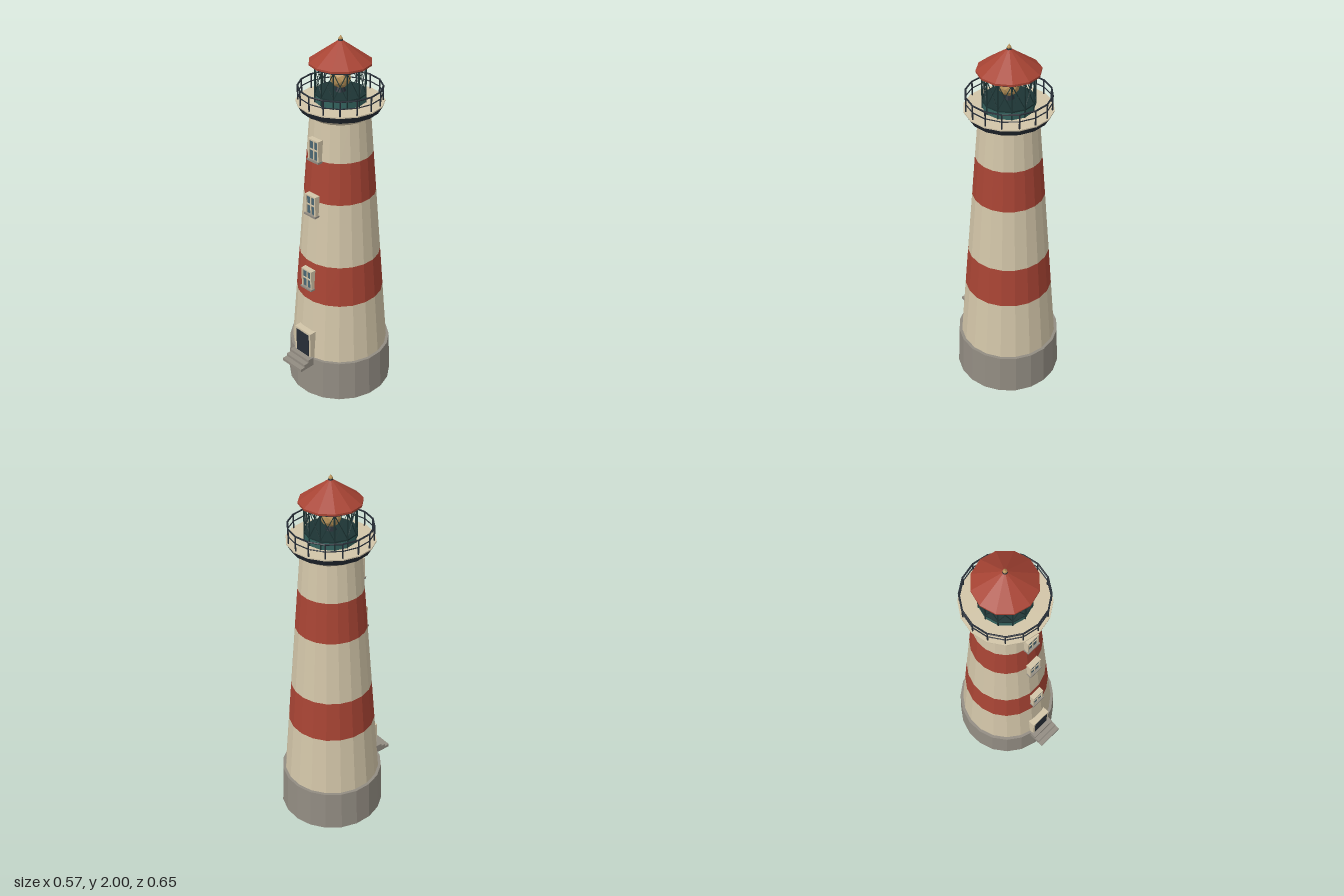
import * as THREE from 'three';

const mat = (name, color) => {
  const m = new THREE.MeshStandardMaterial({ color, flatShading: true });
  m.name = name;
  return m;
};

export function createModel() {
  const cream = mat('cream paint', 0xd2c5a8);
  const red = mat('red paint', 0xa84434);
  const stone = mat('grey stone', 0x928c82);
  const dark = mat('dark iron', 0x262d36);
  const green = mat('green iron', 0x1c3434);
  const teal = mat('teal panel', 0x34625e);
  const glass = mat('window glass', 0x4a6673);
  const gold = mat('brass', 0xb8935a);

  const model = new THREE.Group();
  model.name = 'lighthouse';
  const tower = new THREE.Group(); // everything round shares this axis
  tower.name = 'tower';
  tower.position.z = -0.04;
  model.add(tower);

  const add = (parent, name, geo, material, x = 0, y = 0, z = 0) => {
    const mesh = new THREE.Mesh(geo, material);
    mesh.name = name;
    mesh.position.set(x, y, z);
    parent.add(mesh);
    return mesh;
  };
  const box = (parent, name, material, w, h, d, x, y, z) =>
    add(parent, name, new THREE.BoxGeometry(w, h, d), material, x, y, z);
  // frustum between two heights
  const drum = (name, material, r0, r1, y0, y1, sides, open = false, turn = 0) => {
    const g = new THREE.CylinderGeometry(r1, r0, y1 - y0, sides, 1, open);
    g.rotateY(turn);
    return add(tower, name, g, material, 0, (y0 + y1) / 2, 0);
  };
  // straight bar between two points
  const bar = (parent, name, material, a, b, r, sides = 5) => {
    const d = b.clone().sub(a);
    const m = add(parent, name, new THREE.CylinderGeometry(r, r, d.length(), sides), material);
    m.position.copy(a).addScaledVector(d, 0.5);
    m.quaternion.setFromUnitVectors(new THREE.Vector3(0, 1, 0), d.normalize());
    return m;
  };
  const polar = (r, y, i, n) => {
    const a = (i / n) * Math.PI * 2;
    return new THREE.Vector3(Math.sin(a) * r, y, Math.cos(a) * r);
  };

  // stone base and painted, tapering shaft
  const half = Math.PI / 20;
  const shaftR = (y) => 0.263 - (y - 0.24) * 0.0809;
  drum('stoneBase', stone, 0.288, 0.279, 0, 0.24, 20, false, half);
  const bands = [0.24, 0.59, 0.82, 1.175, 1.4, 1.6];
  for (let i = 0; i < 5; i++) {
    const [a, b] = [bands[i], bands[i + 1]];
    drum(i % 2 ? 'redBand' : 'creamBand', i % 2 ? red : cream, shaftR(a), shaftR(b), a, b, 20, true, half);
  }

  // gallery: flared corbel, dark rim and pale deck
  drum('corbel', cream, 0.153, 0.185, 1.6, 1.635, 20, false, half);
  drum('galleryRim', dark, 0.2, 0.22, 1.63, 1.664, 16);
  drum('galleryDeck', cream, 0.221, 0.221, 1.664, 1.67, 16);

  // gallery railing
  const railing = new THREE.Group();
  railing.name = 'railing';
  tower.add(railing);
  for (let i = 0; i < 16; i++) {
    bar(railing, 'railPost', dark, polar(0.21, 1.668, i, 16), polar(0.21, 1.748, i, 16), 0.004);
    for (const [y, r] of [[1.745, 0.0045], [1.708, 0.003]])
      bar(railing, 'rail', dark, polar(0.21, y, i, 16), polar(0.21, y, i + 1, 16), r);
  }

  // lantern room: low wall, upright bars and crossed braces
  drum('lanternWall', teal, 0.128, 0.128, 1.67, 1.71, 12);
  drum('lanternSill', green, 0.132, 0.132, 1.71, 1.718, 12);
  const cage = new THREE.Group();
  cage.name = 'lanternCage';
  tower.add(cage);
  for (let i = 0; i < 12; i++) {
    bar(cage, 'upright', green, polar(0.128, 1.67, i, 12), polar(0.128, 1.86, i, 12), 0.004);
    bar(cage, 'brace', green, polar(0.127, 1.718, i, 12), polar(0.127, 1.852, i + 1, 12), 0.0025, 4);
    bar(cage, 'brace', green, polar(0.127, 1.718, i + 1, 12), polar(0.127, 1.852, i, 12), 0.0025, 4);
  }
  drum('lanternHead', dark, 0.135, 0.135, 1.848, 1.864, 12);

  // lamp
  drum('lampStand', dark, 0.03, 0.018, 1.715, 1.745, 8);
  add(tower, 'lampLens', new THREE.IcosahedronGeometry(0.052, 1), gold, 0, 1.787, 0);

  // roof and finial
  drum('roofEaves', red, 0.157, 0.157, 1.862, 1.872, 12);
  drum('roof', red, 0.157, 0.012, 1.872, 1.974, 12);
  drum('finialCollar', dark, 0.014, 0.011, 1.968, 1.98, 8);
  add(tower, 'finialBall', new THREE.SphereGeometry(0.011, 8, 6), gold, 0, 1.983, 0);
  drum('finialTip', gold, 0.008, 0.001, 1.986, 2, 8);

  // framed opening: two jambs, a head and a pane
  const frame = (group, w, h, t, d, material) => {
    for (const s of [-1, 1]) box(group, 'jamb', material, t, h, d, s * (w - t) / 2, h / 2, 0);
    box(group, 'head', material, w, t, d, 0, h - t / 2, 0);
  };

  // windows up the front
  for (const y of [0.67, 1.1, 1.4]) {
    const win = new THREE.Group();
    win.name = 'window';
    win.position.set(0, y, shaftR(y + 0.05) - 0.04 + 0.004);
    model.add(win);
    frame(win, 0.074, 0.112, 0.008, 0.036, cream);
    box(win, 'pane', glass, 0.06, 0.104, 0.03, 0, 0.054, -0.004);
    box(win, 'mullion', cream, 0.007, 0.1, 0.006, 0, 0.054, 0.012);
    box(win, 'crossbar', cream, 0.06, 0.007, 0.006, 0, 0.056, 0.012);
    box(win, 'sill', stone, 0.082, 0.01, 0.044, 0, -0.002, 0.002);
  }

  // door
  const door = new THREE.Group();
  door.name = 'door';
  door.position.set(0, 0.24, 0.22);
  model.add(door);
  frame(door, 0.12, 0.168, 0.013, 0.042, cream);
  box(door, 'leaf', dark, 0.096, 0.156, 0.042, 0, 0.078, 0.002);

  // entrance steps
  for (let i = 0; i < 3; i++) {
    const depth = 0.095 - i * 0.028;
    box(model, 'step', stone, 0.145, 0.017, depth, 0, 0.215 + i * 0.016, 0.23 + depth / 2);
  }
  return model;
}
